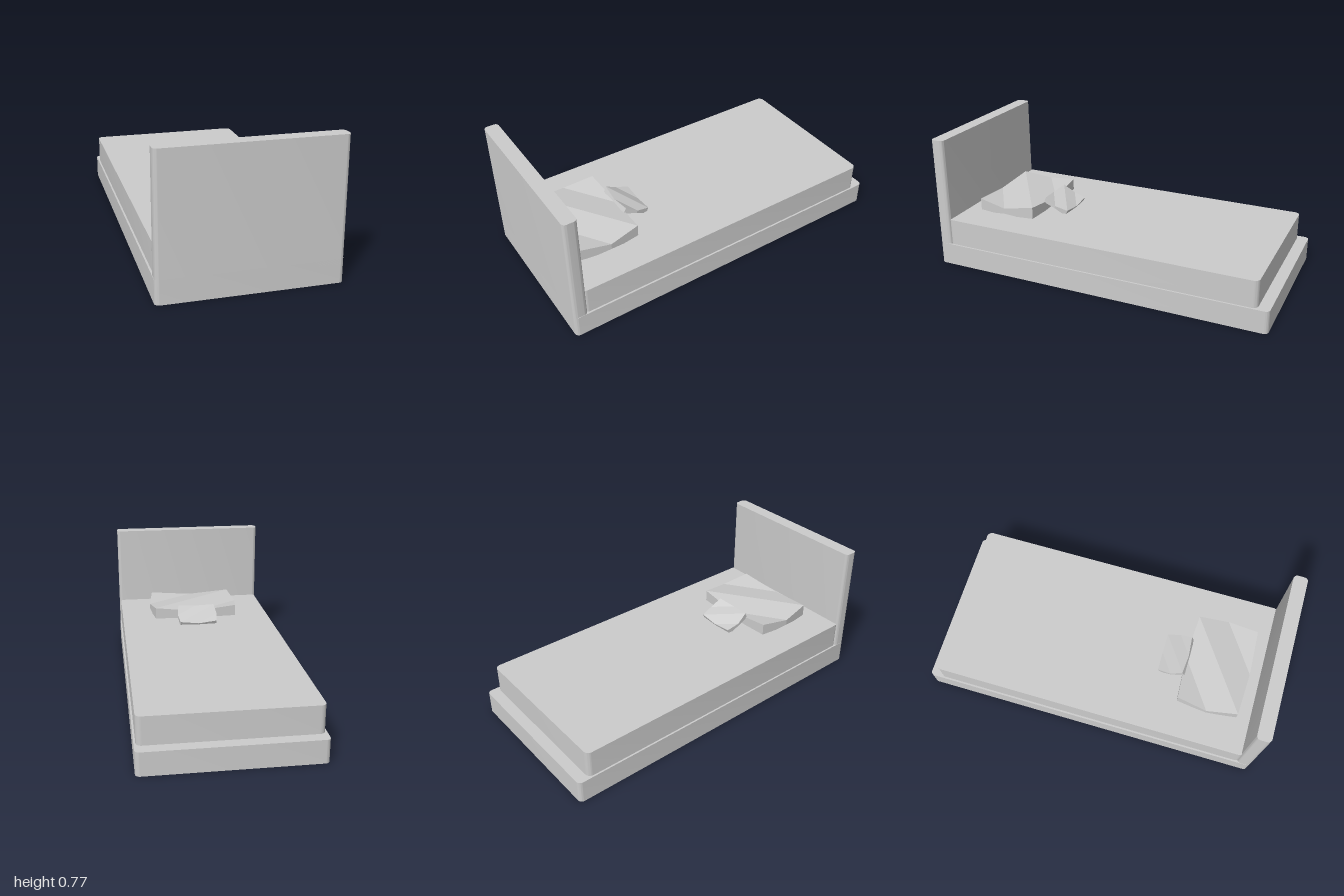
import * as THREE from 'three';
import { toCreasedNormals } from 'three/addons/utils/BufferGeometryUtils.js';

const material = new THREE.MeshStandardMaterial({ color: 0xcccccc });
const cushionMaterial = new THREE.MeshStandardMaterial({ color: 0xcccccc, flatShading: true });

// Upright slab whose plan is a rectangle with rounded corners
function slab(name, halfWidth, z0, z1, y0, y1, r) {
  const s = new THREE.Shape();
  const w = halfWidth, a = -z1, b = -z0; // shape y becomes -z once laid flat
  s.moveTo(-w + r, a);
  s.lineTo(w - r, a);
  s.absarc(w - r, a + r, r, -Math.PI / 2, 0);
  s.lineTo(w, b - r);
  s.absarc(w - r, b - r, r, 0, Math.PI / 2);
  s.lineTo(-w + r, b);
  s.absarc(-w + r, b - r, r, Math.PI / 2, Math.PI);
  s.lineTo(-w, a + r);
  s.absarc(-w + r, a + r, r, Math.PI, Math.PI * 1.5);
  const geo = new THREE.ExtrudeGeometry(s, { depth: y1 - y0, bevelEnabled: false, curveSegments: 6 });
  geo.rotateX(-Math.PI / 2);
  geo.translate(0, y0, 0);
  const mesh = new THREE.Mesh(toCreasedNormals(geo, 0.6), material);
  mesh.name = name;
  return mesh;
}

// Faceted cushion: thick corners, with edge middles pushed out and pinched thin
function cushion(name, scale) {
  const hx = 0.26, hy = 0.042, hz = 0.178;
  const geo = new THREE.BoxGeometry(hx * 2, hy * 2, hz * 2, 2, 1, 2);
  const p = geo.attributes.position;
  for (let i = 0; i < p.count; i++) {
    const midX = Math.abs(p.getX(i)) < 1e-4, midZ = Math.abs(p.getZ(i)) < 1e-4;
    if (midX === midZ) continue; // corners and centre stay
    p.setY(i, p.getY(i) * 0.4);
    if (midZ) p.setX(i, p.getX(i) * 1.095);
    else p.setZ(i, p.getZ(i) * 1.08);
  }
  geo.scale(scale, scale, scale);
  geo.computeVertexNormals();
  const mesh = new THREE.Mesh(geo, cushionMaterial);
  mesh.name = name;
  return mesh;
}

export function createModel() {
  const bed = new THREE.Group();
  bed.name = 'bed';

  // Frame, mattress and headboard
  bed.add(slab('base', 0.48, -1, 1, 0, 0.13, 0.025));
  bed.add(slab('mattress', 0.47, -0.935, 0.935, 0.13, 0.285, 0.03));
  bed.add(slab('headboard', 0.478, 0.92, 1, 0.1, 0.77, 0.022));

  // Large pillow lying flat
  const pillow = cushion('pillow', 1);
  pillow.position.set(0, 0.313, 0.663);
  bed.add(pillow);

  // Small cushion leaning on the pillow
  const small = cushion('smallCushion', 0.44);
  small.position.set(0, 0.321, 0.41);
  small.rotation.x = -0.42;
  bed.add(small);

  return bed;
}
